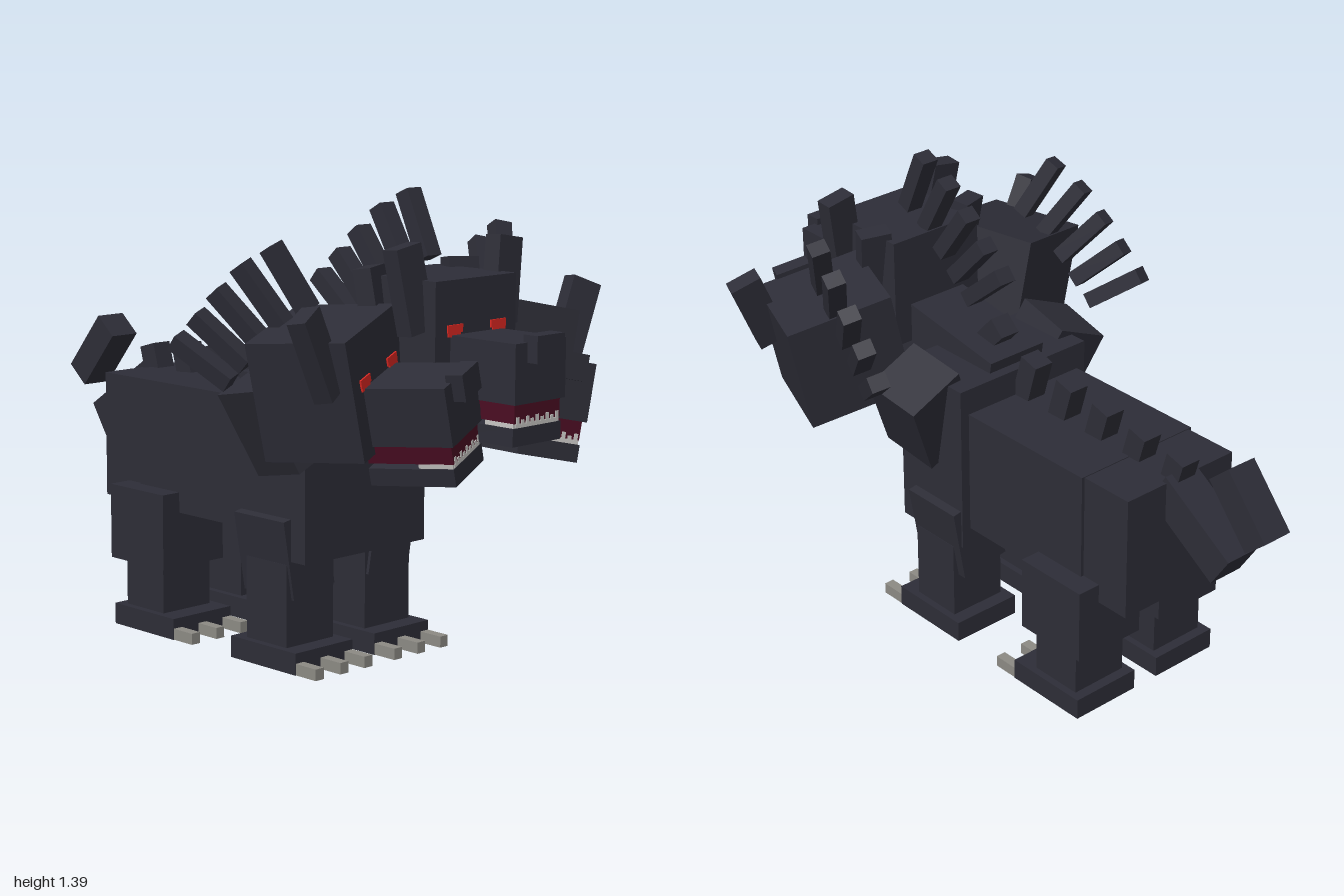
import * as THREE from 'three';

const mat = (name, color) => {
  const m = new THREE.MeshStandardMaterial({ color });
  m.name = name;
  return m;
};

export function createModel() {
  const fur = mat('charcoal fur', 0x2d2d37);
  const mouthRed = mat('mouth maroon', 0x4a0d22);
  const eyeRed = mat('eye red', 0xdc2822);
  const bone = mat('tooth white', 0xc9c7c4);
  const claw = mat('claw grey', 0x8c8a84);
  const root = new THREE.Group();
  root.name = 'threeHeadedHound';

  // Box by size and centre, with optional rotation
  const box = (parent, name, m, [w, h, d], [x, y, z], [rx, ry, rz] = [0, 0, 0]) => {
    const mesh = new THREE.Mesh(new THREE.BoxGeometry(w, h, d), m);
    mesh.name = name;
    mesh.position.set(x, y, z);
    mesh.rotation.set(rx, ry, rz, 'ZYX');
    parent.add(mesh);
    return mesh;
  };

  // Trunk
  box(root, 'body', fur, [0.43, 0.39, 0.55], [0, 0.573, -0.175]);
  box(root, 'hips', fur, [0.41, 0.385, 0.2], [0, 0.573, -0.525]);
  box(root, 'chest', fur, [0.49, 0.53, 0.275], [0, 0.585, 0.173]);
  box(root, 'neck', fur, [0.205, 0.24, 0.44], [0, 0.8, 0.3], [-0.16, 0, 0]);

  // Spikes along the back
  for (let i = 0; i < 5; i++) {
    box(root, 'backSpike', fur, [0.066, 0.15, 0.066], [0, 0.825 - i * 0.016, -0.002 - i * 0.152], [-0.28, 0, 0]);
  }
  box(root, 'neckSpike', fur, [0.066, 0.15, 0.066], [0, 0.9, 0.17], [-0.75, 0, 0]);

  // Tail
  box(root, 'tailBase', fur, [0.115, 0.115, 0.3], [0, 0.655, -0.715], [-0.58, 0, 0]);
  box(root, 'tailTip', fur, [0.1, 0.092, 0.225], [0, 0.79, -0.887], [-0.87, 0, 0]);

  for (const s of [-1, 1]) {
    // Shoulder necks that carry the outer heads
    box(root, 'sideNeck', fur, [0.19, 0.27, 0.19], [s * 0.245, 0.735, 0.21], [-0.2, 0, -s * 0.42]);

    // Legs
    box(root, 'frontThigh', fur, [0.165, 0.24, 0.21], [s * 0.172, 0.335, 0.147], [0, 0, -s * 0.17]);
    box(root, 'rearThigh', fur, [0.24, 0.23, 0.245], [s * 0.16, 0.325, -0.392]);
    for (const [end, legZ, footZ] of [['front', 0.157, 0.165], ['rear', -0.388, -0.368]]) {
      box(root, end + 'Shin', fur, [0.187, 0.25, 0.17], [s * 0.159, 0.185, legZ]);
      box(root, end + 'Foot', fur, [0.23, 0.065, 0.275], [s * 0.16, 0.0325, footZ]);
      for (let i = -1; i <= 1; i++) {
        box(root, end + 'Claw', claw, [0.032, 0.034, 0.085], [s * 0.16 + i * 0.098, 0.018, footZ + 0.177]);
      }
    }
  }

  // One head, built around the centre of its skull
  const mane = [ // y, z, backward lean
    [0.31, -0.07, 0.42], [0.265, -0.165, 0.52], [0.2, -0.245, 0.64],
    [0.135, -0.315, 0.76], [0.075, -0.385, 0.88],
  ];
  const makeHead = (name) => {
    const h = new THREE.Group();
    h.name = name;
    box(h, 'skull', fur, [0.325, 0.34, 0.3], [0, 0.01, 0]);
    box(h, 'snout', fur, [0.205, 0.165, 0.26], [0, -0.0525, 0.255]);
    box(h, 'nose', fur, [0.11, 0.075, 0.05], [0, 0.013, 0.395]);
    box(h, 'mouth', mouthRed, [0.185, 0.055, 0.25], [0, -0.16, 0.25]);
    box(h, 'jaw', fur, [0.195, 0.05, 0.25], [0, -0.225, 0.25]);

    // Teeth: a low strip around the jaw with uneven tips
    box(h, 'toothStrip', bone, [0.172, 0.014, 0.008], [0, -0.195, 0.37]);
    for (let i = 0; i < 9; i++) {
      const tall = i % 2 ? 0.012 : 0.02;
      box(h, 'tooth', bone, [0.012, tall, 0.008], [-0.08 + i * 0.02, -0.19 + tall / 2, 0.373]);
    }
    for (const s of [-1, 1]) {
      box(h, 'sideTeeth', bone, [0.008, 0.014, 0.1], [s * 0.089, -0.195, 0.322]);
      box(h, 'ear', fur, [0.095, 0.24, 0.055], [s * 0.187, 0.155, 0.075], [-0.08, 0, -s * 0.17]);
      box(h, 'eye', eyeRed, [0.06, 0.022, 0.008], [s * 0.087, 0.047, 0.151]);
      box(h, 'eyeLower', eyeRed, [0.05, 0.014, 0.008], [s * 0.09, 0.032, 0.151]);
    }
    for (const [y, z, lean] of mane) {
      box(h, 'maneSpike', fur, [0.056, 0.2, 0.048], [0, y, z], [-lean, 0, 0]);
    }
    root.add(h);
    return h;
  };

  makeHead('centreHead').position.set(0, 0.98, 0.58);
  for (const s of [-1, 1]) {
    const h = makeHead(s > 0 ? 'leftHead' : 'rightHead');
    h.position.set(s * 0.335, 0.87, 0.505);
    h.rotation.set(0, -s * 0.34, -s * 0.225, 'ZYX');
  }
  return root;
}
